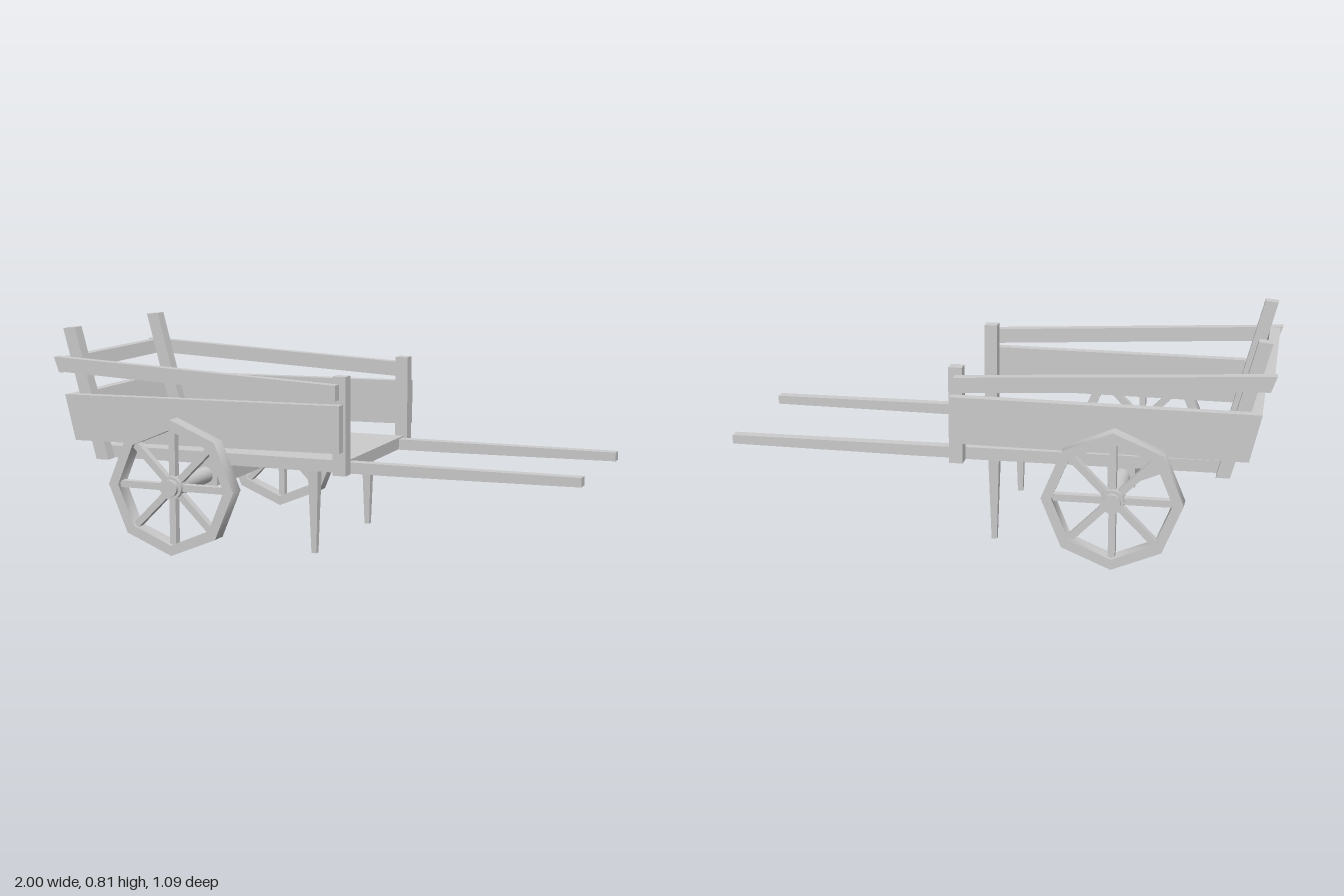
import * as THREE from 'three';
import { toCreasedNormals } from 'three/addons/utils/BufferGeometryUtils.js';

const grey = new THREE.MeshStandardMaterial({ color: 0xcccccc });

function add(parent, name, geometry, x = 0, y = 0, z = 0) {
  const mesh = new THREE.Mesh(geometry, grey);
  mesh.name = name;
  mesh.position.set(x, y, z);
  parent.add(mesh);
  return mesh;
}

// Board with an outline in x, y, running from z0 to z1
function board(parent, name, outline, z0, z1) {
  const shape = new THREE.Shape(outline.map(([x, y]) => new THREE.Vector2(x, y)));
  const geometry = new THREE.ExtrudeGeometry(shape, { depth: Math.abs(z1 - z0), bevelEnabled: false });
  return add(parent, name, geometry, 0, 0, Math.min(z0, z1));
}

const octagon = (r) => Array.from({ length: 8 }, (_, i) =>
  new THREE.Vector2(r * Math.cos(i * Math.PI / 4), r * Math.sin(i * Math.PI / 4)));

// Eight-sided rim, eight spokes and a round hub
function wheel() {
  const group = new THREE.Group();
  const shape = new THREE.Shape(octagon(0.25));
  shape.holes.push(new THREE.Path(octagon(0.212)));
  const rim = new THREE.ExtrudeGeometry(shape, { depth: 0.064, bevelEnabled: false });
  rim.translate(0, 0, -0.032);
  add(group, 'rim', toCreasedNormals(rim, 0.9));
  for (let i = 0; i < 8; i++) {
    const spoke = new THREE.BoxGeometry(0.2, 0.025, 0.03);
    spoke.translate(0.12, 0, 0);
    add(group, 'spoke', spoke).rotation.z = i * Math.PI / 4;
  }
  const hub = new THREE.CylinderGeometry(0.043, 0.043, 0.06, 20);
  add(group, 'hub', hub.rotateX(Math.PI / 2));
  return group;
}

// Rear edge of the body leans back: x of the rear post's outer face at height y
const rearX = (y) => -0.85 - (y - 0.31) * 0.265;

// Strip lying along the leaning rear face
function leaning(y0, y1, inner, outer) {
  return [
    [rearX(y0) - outer, y0 - outer * 0.1], [rearX(y0) + inner, y0],
    [rearX(y1) + inner, y1 + inner * 0.1], [rearX(y1) - outer, y1],
  ];
}

export function createModel() {
  const cart = new THREE.Group();
  cart.name = 'handcart';

  // Bed
  add(cart, 'floor', new THREE.BoxGeometry(0.98, 0.045, 0.62), -0.345, 0.3325, 0);

  // Tail boards
  board(cart, 'tailBoard', leaning(0.387, 0.554, 0, 0.039), -0.399, 0.399);
  board(cart, 'tailRail', leaning(0.64, 0.692, 0, 0.039), -0.399, 0.399);

  for (const s of [1, -1]) {
    const side = new THREE.Group();
    side.name = s > 0 ? 'frontSide' : 'backSide';
    cart.add(side);

    // Posts
    board(side, 'frontPost', [[0.11, 0.308], [0.16, 0.308], [0.16, 0.665], [0.11, 0.665]], s * 0.31, s * 0.36);
    board(side, 'rearPost', leaning(0.308, 0.8, 0.05, 0), s * 0.31, s * 0.36);

    // Side boards
    board(side, 'sideBoard', [[-0.914, 0.383], [0.15, 0.395], [0.15, 0.566], [-0.955, 0.555]], s * 0.36, s * 0.4);
    board(side, 'sideRail', [[-0.98, 0.64], [0.135, 0.582], [0.135, 0.638], [-1, 0.695]], s * 0.36, s * 0.4);

    // Handle
    board(side, 'handle', [[0.14, 0.308], [0.3, 0.308], [1, 0.316], [1, 0.349], [0.14, 0.349]], s * 0.255, s * 0.298);

    // Tapered square leg
    const leg = new THREE.CylinderGeometry(0.028, 0.014, 0.315, 4, 1).toNonIndexed();
    leg.rotateY(Math.PI / 4);
    leg.computeVertexNormals();
    add(side, 'leg', leg, 0.008, 0.1575, s * 0.278);

    // Wheel
    const w = wheel();
    w.name = 'wheel';
    w.position.set(-0.453, 0.253, s * 0.498);
    side.add(w);
  }

  // Axle and its bearing block
  const axle = new THREE.CylinderGeometry(0.032, 0.032, 1.09, 20).rotateX(Math.PI / 2);
  add(cart, 'axle', axle, -0.453, 0.253, 0);
  add(cart, 'axleBlock', new THREE.BoxGeometry(0.1, 0.097, 0.485), -0.453, 0.263, 0);

  return cart;
}
